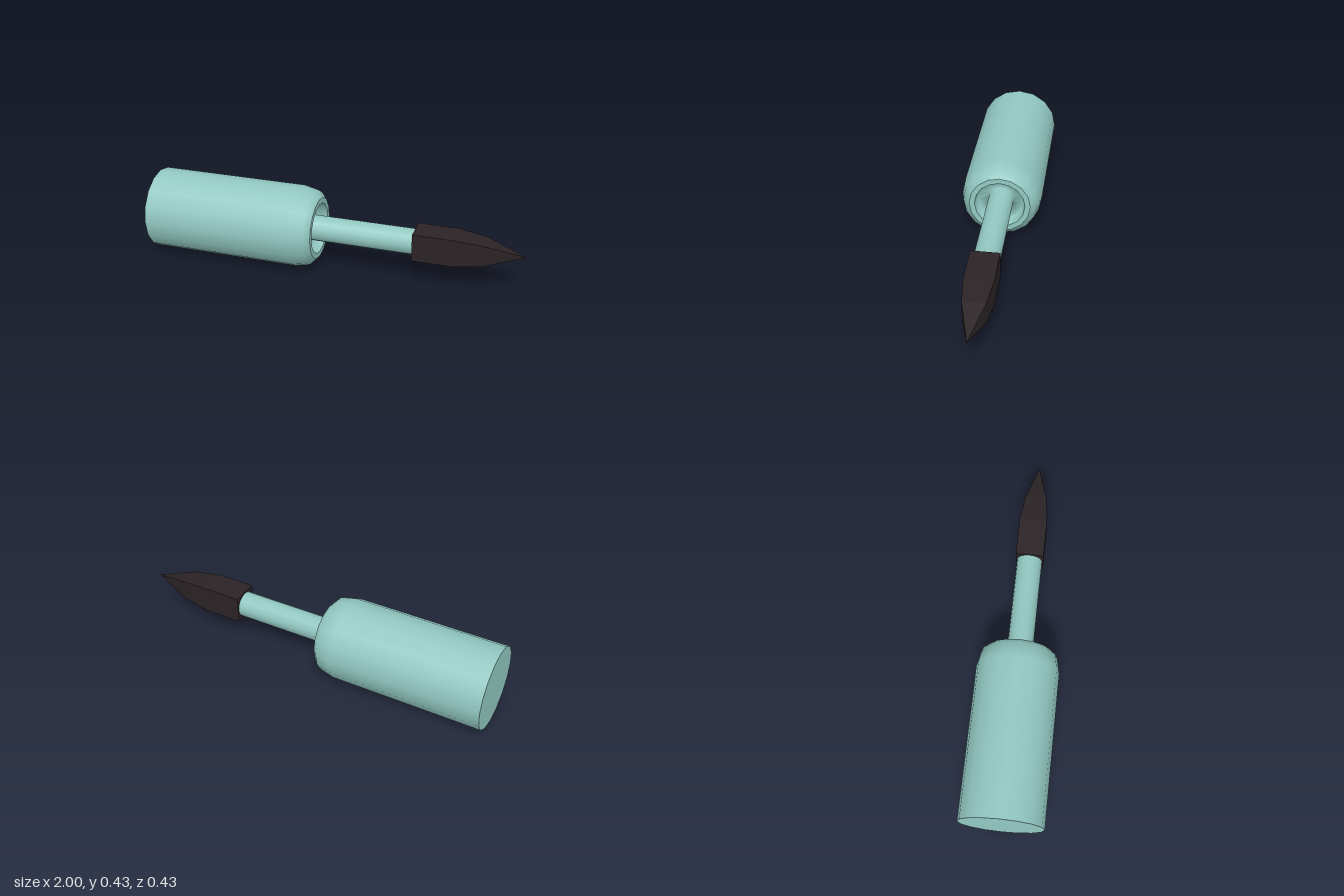
import * as THREE from 'three';

const SIDES = 16;
const AXIS_Y = 0.217;

// Turns a profile of [x along the axis, radius] around the x axis
function turned(name, profile, material, sides = SIDES) {
  const points = profile.map(([x, r]) => new THREE.Vector2(r, x));
  const geometry = new THREE.LatheGeometry(points, sides);
  geometry.rotateZ(-Math.PI / 2);
  const mesh = new THREE.Mesh(geometry, material);
  mesh.name = name;
  return mesh;
}

export function createModel() {
  const model = new THREE.Group();
  model.name = 'pointedTool';
  const teal = new THREE.MeshStandardMaterial({ color: 0x92c8c1 });
  const dark = new THREE.MeshStandardMaterial({ color: 0x2b2326, flatShading: true });

  // Handle: separate profiles keep the rims sharp
  const handle = new THREE.Group();
  handle.name = 'handle';
  handle.add(
    turned('handleEnd', [[-1, 0], [-1, 0.217]], teal),
    turned('handleBody', [[-1, 0.217], [-0.195, 0.217], [-0.115, 0.2], [-0.085, 0.165]], teal),
    turned('handleRim', [[-0.085, 0.165], [-0.085, 0.136]], teal),
  );

  // Hollow mouth of the handle, running smoothly into the shaft
  const shaft = turned('socketAndShaft', [
    [-0.085, 0.136], [-0.135, 0.122], [-0.15, 0.068], [0.44, 0.068],
  ], teal);

  // Square pointed head; the corner radius is half the side times root two
  const corner = Math.SQRT2;
  const head = turned('head', [
    [0.43, 0], [0.43, 0.074 * corner], [0.64, 0.074 * corner],
    [0.79, 0.057 * corner], [1, 0],
  ], dark, 4);
  head.rotation.x = Math.PI / 4;

  model.add(handle, shaft, head);
  model.children.forEach((part) => { part.position.y = AXIS_Y; });
  return model;
}
